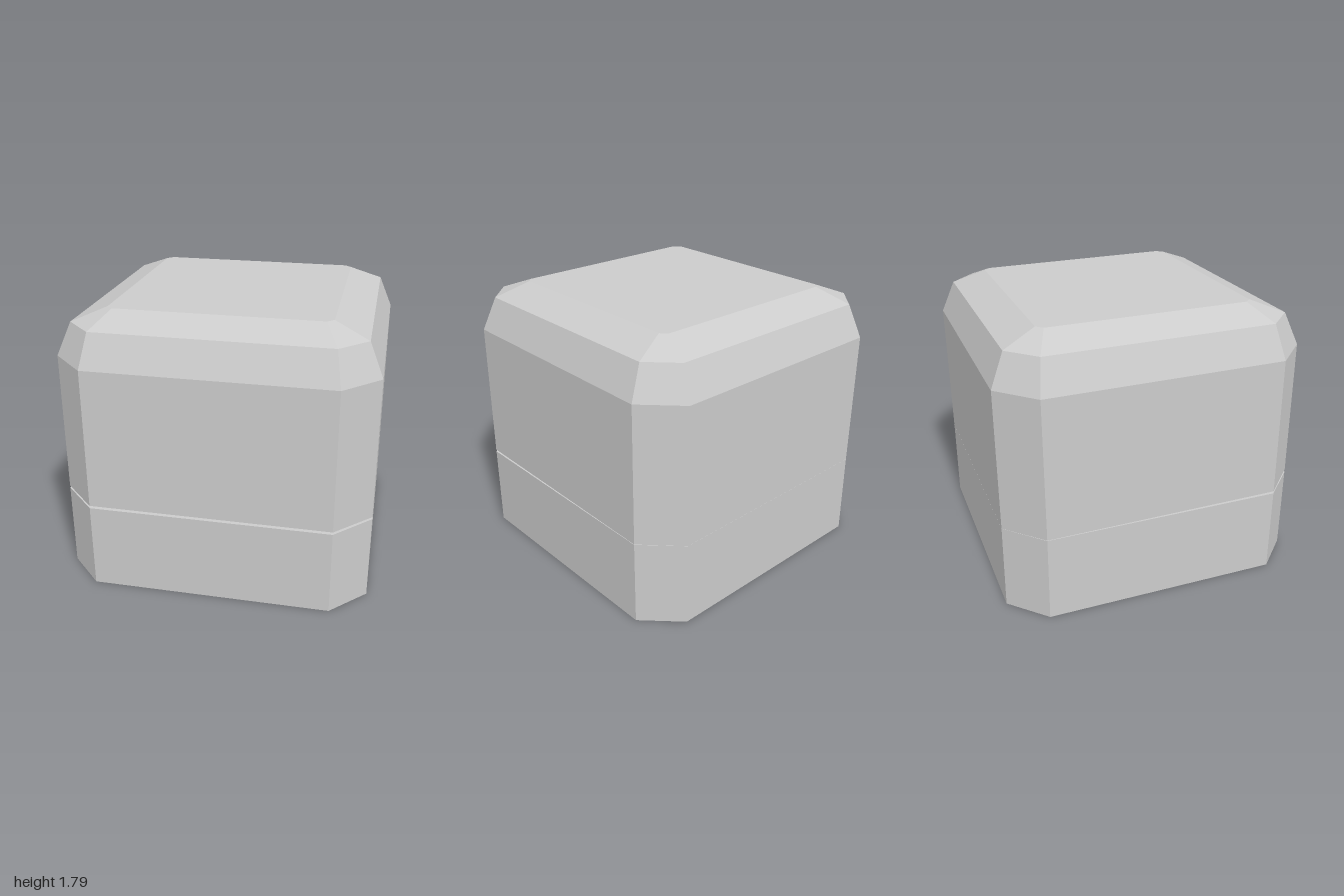
import * as THREE from 'three';

const grey = new THREE.MeshStandardMaterial({ color: 0xcccccc, flatShading: true, side: THREE.DoubleSide });

// Square ring with cut corners: half width h, straight half side c, height y
const ring = (h, c, y) =>
  [[c, h], [h, c], [h, -c], [c, -h], [-c, -h], [-h, -c], [-h, c], [-c, h]].map(([x, z]) => [x, y, z]);

// Skin a stack of rings from bottom to top, with optional flat end caps
function loft(rings, capBottom, capTop) {
  const pos = [];
  const tri = (...points) => points.forEach((p) => pos.push(...p));
  for (let k = 0; k < rings.length - 1; k++) {
    const lo = rings[k], hi = rings[k + 1];
    for (let i = 0; i < 8; i++) {
      const j = (i + 1) % 8;
      tri(lo[i], lo[j], hi[j]);
      tri(lo[i], hi[j], hi[i]);
    }
  }
  const first = rings[0], last = rings[rings.length - 1];
  for (let i = 1; i < 7; i++) {
    if (capBottom) tri(first[0], first[i + 1], first[i]);
    if (capTop) tri(last[0], last[i], last[i + 1]);
  }
  const geo = new THREE.BufferGeometry();
  geo.setAttribute('position', new THREE.Float32BufferAttribute(pos, 3));
  geo.computeVertexNormals();
  return geo;
}

function part(name, geo) {
  const mesh = new THREE.Mesh(geo, grey);
  mesh.name = name;
  return mesh;
}

export function createModel() {
  const model = new THREE.Group();
  model.name = 'hingedBox';
  const half = 0.993, side = 0.77, seam = 0.565, centreZ = 0.007;

  // Base: thin walls, open underneath, closed by a deck at the seam
  const base = part('base', loft([ring(half, side, 0), ring(half, side, seam)], false, true));
  base.position.z = centreZ;
  model.add(base);

  // Round insert, just proud of the deck on both sides
  const insert = part('roundInsert', new THREE.CylinderGeometry(0.46, 0.46, 0.012, 48));
  insert.position.set(0, seam + 0.002, centreZ);
  model.add(insert);

  // Lid: bevelled in two steps, slightly ajar about the back hinge
  const hinge = new THREE.Group();
  hinge.name = 'lidHinge';
  hinge.position.set(0, seam, centreZ - half);
  hinge.rotation.x = -0.008;
  const lid = part('lid', loft([
    ring(half, side, 0.001),
    ring(half, side, 0.917),
    ring(0.905, 0.735, 1.13),
    ring(0.69, 0.65, 1.216),
  ], true, true));
  lid.position.z = half;
  hinge.add(lid);
  model.add(hinge);

  return model;
}
